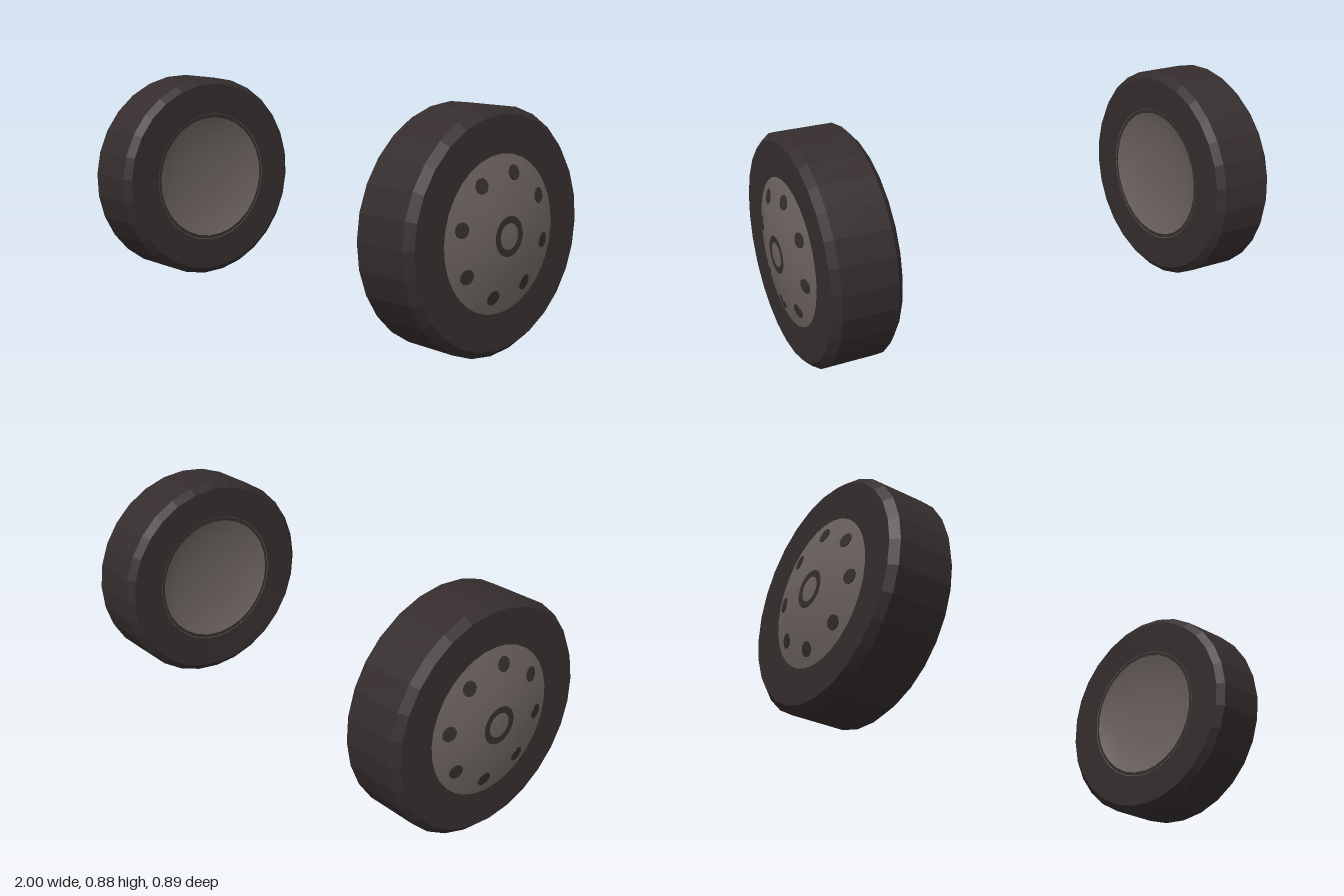
import * as THREE from 'three';

const rubber = new THREE.MeshStandardMaterial({ name: 'dark rubber', color: 0x352d2d, flatShading: true });
const metal = new THREE.MeshStandardMaterial({ name: 'grey metal', color: 0x6b625d });

const AXLE_Y = 0.443;

// Revolve [radius, x] pairs around the axle (the x axis)
function turned(name, profile, segments, material) {
  const points = profile.map(([r, x]) => new THREE.Vector2(r, x));
  const geometry = new THREE.LatheGeometry(points, segments);
  geometry.rotateZ(-Math.PI / 2);
  const mesh = new THREE.Mesh(geometry, material);
  mesh.name = name;
  return mesh;
}

// One wheel with its outer side towards +x
function makeWheel(name, turn) {
  const wheel = new THREE.Group();
  wheel.name = name;

  // Tyre with chamfered shoulders, a touch flattened by its load
  const tyre = turned('tyre', [
    [0.27, 0.697], [0.42, 0.695], [0.447, 0.72],
    [0.447, 0.93], [0.42, 0.958], [0.27, 0.957],
  ], 28, rubber);
  tyre.geometry.rotateX(THREE.MathUtils.degToRad(turn));
  tyre.scale.y = 0.984;
  wheel.add(tyre);

  // Shallow domed hub cap on the outside
  wheel.add(turned('hubCap', [
    [0.28, 0.957], [0.165, 0.986], [0.075, 0.996], [0, 0.998],
  ], 32, metal));

  // Shallow saucer on the inside
  wheel.add(turned('innerDish', [
    [0, 0.739], [0.075, 0.737], [0.19, 0.731], [0.283, 0.696],
  ], 32, metal));

  // Dark ring around the middle of the cap
  const ring = new THREE.Mesh(new THREE.RingGeometry(0.046, 0.071, 24), rubber);
  ring.name = 'centreRing';
  ring.rotation.y = Math.PI / 2;
  ring.position.x = 1;
  wheel.add(ring);

  // Eight dark spots lying on the slope of the cap
  const spotGeometry = new THREE.CylinderGeometry(0.028, 0.028, 0.006, 10);
  const slope = THREE.MathUtils.degToRad(14);
  for (let i = 0; i < 8; i++) {
    const arm = new THREE.Group();
    arm.name = 'hubSpot';
    arm.rotation.x = THREE.MathUtils.degToRad(-12 + turn + i * 45);
    const spot = new THREE.Mesh(spotGeometry, rubber);
    spot.name = 'spotDisc';
    spot.position.set(0.973, 0.217, 0);
    spot.rotation.z = slope - Math.PI / 2;
    arm.add(spot);
    wheel.add(arm);
  }

  wheel.position.y = AXLE_Y;
  return wheel;
}

export function createModel() {
  const model = new THREE.Group();
  model.name = 'wheelPair';
  const left = makeWheel('leftWheel', 0);
  const right = makeWheel('rightWheel', 4);
  right.rotation.y = Math.PI;
  model.add(left, right);
  return model;
}
